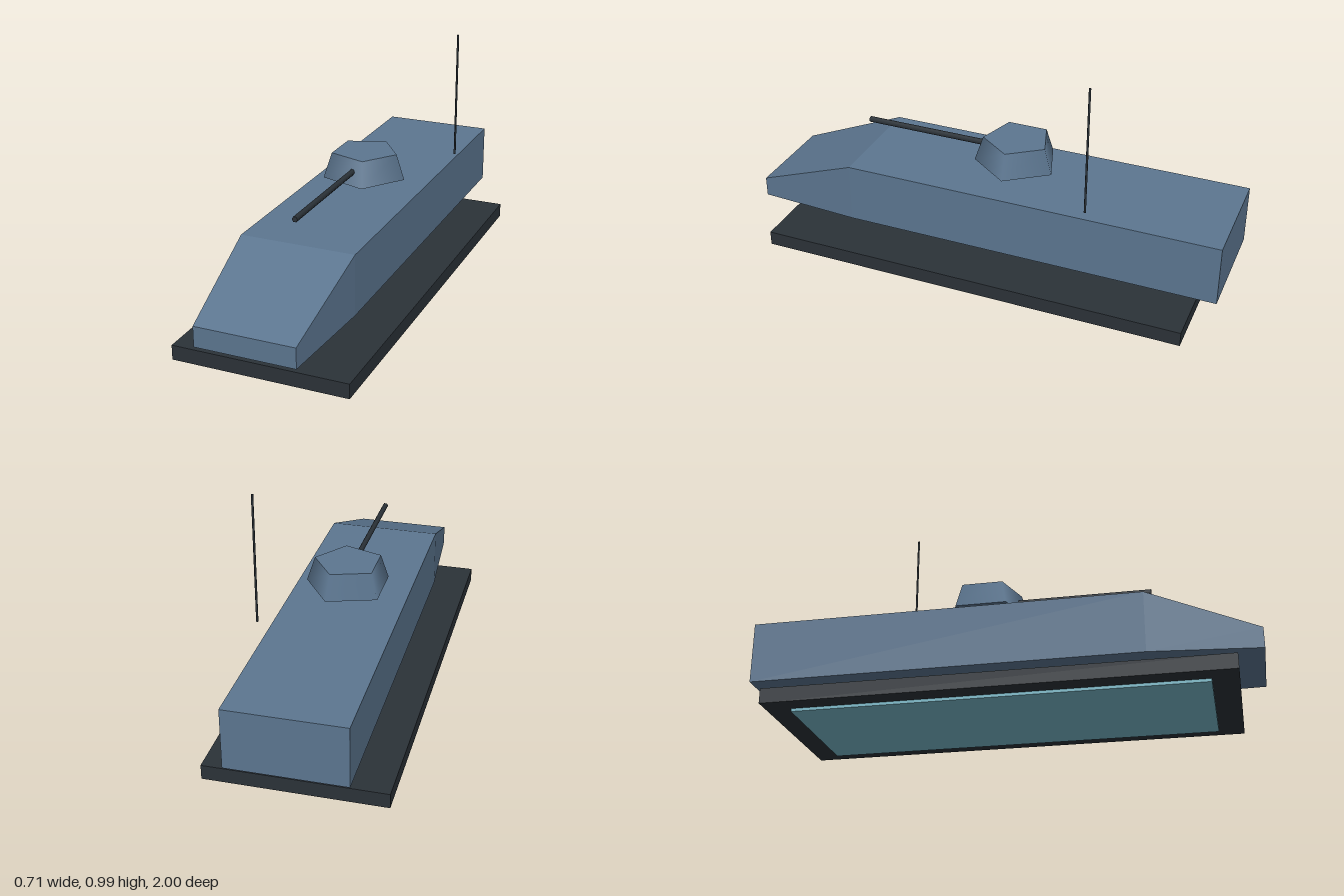
import * as THREE from 'three';

const material = (name, color) => {
  const m = new THREE.MeshStandardMaterial({ color });
  m.name = name;
  return m;
};

// Long box hull whose front section narrows and slopes down to a low nose
function hullGeometry() {
  const box = new THREE.BoxGeometry(2, 2, 2, 1, 1, 2);
  const p = box.attributes.position;
  for (let i = 0; i < p.count; i++) {
    const side = Math.sign(p.getX(i));
    const upper = p.getY(i) > 0;
    const z = p.getZ(i);
    const nose = z > 0.5;
    p.setXYZ(
      i,
      side * (nose ? 0.202 : 0.235),
      upper ? (nose ? 0.231 : 0.402) : (nose ? 0.148 : 0.154),
      nose ? 1 : z < -0.5 ? -1 : 0.565
    );
  }
  const flat = box.toNonIndexed();
  flat.computeVertexNormals();
  return flat;
}

export function createModel() {
  const model = new THREE.Group();
  model.name = 'hoverTank';
  const steel = material('steelBlue', 0x5c7690);
  const dark = material('darkGrey', 0x2b3238);
  const glow = material('paleCyan', 0x78b8c8);

  const add = (name, geometry, mat, x = 0, y = 0, z = 0) => {
    const mesh = new THREE.Mesh(geometry, mat);
    mesh.name = name;
    mesh.position.set(x, y, z);
    model.add(mesh);
    return mesh;
  };

  // Hover base: dark skirt with a lift panel beneath
  add('hoverSkirt', new THREE.BoxGeometry(0.715, 0.06, 1.8), dark, 0, 0.042, 0);
  add('liftPanel', new THREE.BoxGeometry(0.556, 0.014, 1.6), glow, 0, 0.007, 0);

  add('hull', hullGeometry(), steel);

  // Five-sided tapered turret with one corner towards +x
  add('turret', new THREE.CylinderGeometry(0.14, 0.175, 0.105, 5, 1, false, Math.PI / 2),
    steel, 0, 0.507, -0.09);

  // Gun barrel pointing forward
  const barrel = add('gunBarrel', new THREE.CylinderGeometry(0.012, 0.012, 0.58, 6, 1, false, Math.PI / 2),
    dark, 0, 0.509, 0.29);
  barrel.rotation.x = Math.PI / 2;

  add('antenna', new THREE.CylinderGeometry(0.0045, 0.0045, 0.53, 6), dark, 0.264, 0.72, -0.47);

  return model;
}
